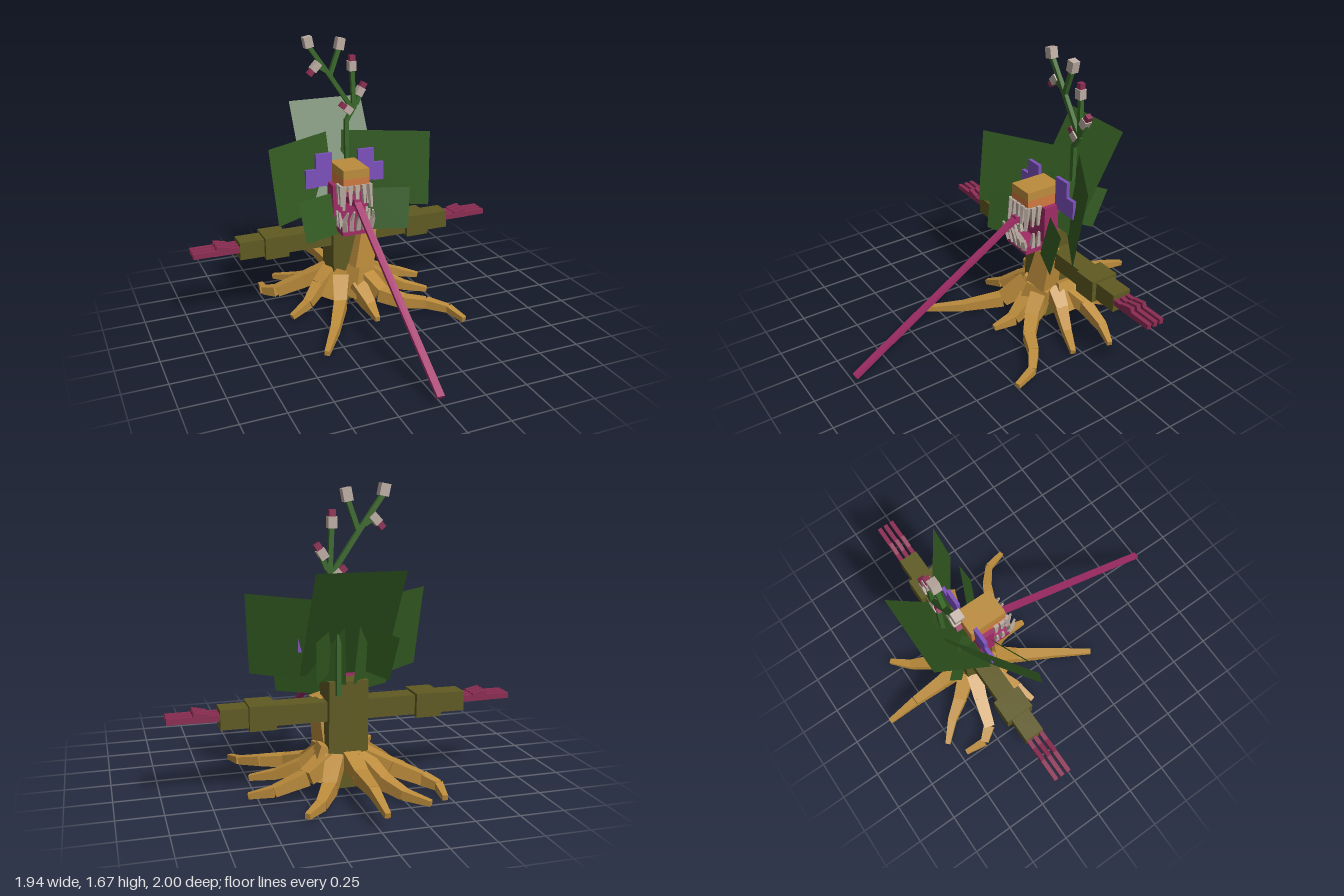
import * as THREE from 'three';

const mat = (name, color, side = THREE.FrontSide) =>
  Object.assign(new THREE.MeshStandardMaterial({ color, side }), { name });

export function createModel() {
  const model = new THREE.Group();
  model.name = 'plantCreature';

  const bark = mat('bark olive', 0x605a22);
  const root = mat('root tan', 0xbc8c3c);
  const leaf = mat('leaf green', 0x335c22, THREE.DoubleSide);
  const stem = mat('stem green', 0x386628);
  const claw = mat('claw maroon', 0x8c2c52);
  const flesh = mat('tongue magenta', 0xa02c66);
  const bone = mat('tooth and bud white', 0xbcaca2);
  const orange = mat('face orange', 0xd0793f);
  const purple = mat('ear purple', 0x7c50bc);

  const part = (name) => {
    const g = new THREE.Group();
    g.name = name;
    model.add(g);
    return g;
  };

  // Box given by its lower and upper corners
  const box = (parent, name, m, a, b) => {
    const mesh = new THREE.Mesh(new THREE.BoxGeometry(b[0] - a[0], b[1] - a[1], b[2] - a[2]), m);
    mesh.position.set((a[0] + b[0]) / 2, (a[1] + b[1]) / 2, (a[2] + b[2]) / 2);
    mesh.name = name;
    parent.add(mesh);
    return mesh;
  };

  // Square tapered bar from a to b, with its width at each end
  const bar = (parent, name, m, a, b, w0, w1 = w0) => {
    const p = new THREE.Vector3(...a), q = new THREE.Vector3(...b);
    const geo = new THREE.CylinderGeometry(w1 * Math.SQRT1_2, w0 * Math.SQRT1_2, p.distanceTo(q), 4)
      .rotateY(Math.PI / 4).rotateX(Math.PI / 2).toNonIndexed();
    geo.computeVertexNormals();
    const mesh = new THREE.Mesh(geo, m);
    mesh.position.copy(p).lerp(q, 0.5);
    mesh.lookAt(q);
    mesh.name = name;
    parent.add(mesh);
    return mesh;
  };

  // Chain of bars tapering along a path
  const chain = (parent, name, m, pts, w0, w1) => {
    const n = pts.length - 1;
    for (let i = 0; i < n; i++) {
      const w = (t) => w0 + (w1 - w0) * t / n;
      bar(parent, name, m, pts[i], pts[i + 1], w(i), w(i + 1));
    }
  };

  // Trunk, with a large root climbing its front
  const trunk = part('trunk');
  box(trunk, 'trunkCore', bark, [-0.11, 0.04, -0.45], [0.11, 0.64, -0.26]);
  chain(trunk, 'climbingRoot', root,
    [[0.105, 0.53, -0.28], [0.06, 0.27, -0.27], [0.02, 0.08, -0.25]], 0.11, 0.18);
  bar(trunk, 'sideRoot', root, [-0.06, 0.25, -0.27], [-0.14, 0.08, -0.22], 0.07, 0.11);
  bar(trunk, 'sideRoot', root, [0.1, 0.27, -0.38], [0.15, 0.08, -0.38], 0.1, 0.14);

  // Spreading roots
  const roots = part('roots');
  const rootPaths = [
    [[-0.07, 0.2, -0.24], [-0.13, 0.1, -0.1], [-0.25, 0.06, 0.12], [-0.38, 0.045, 0.33]],
    [[0.08, 0.2, -0.24], [0.15, 0.11, -0.13], [0.26, 0.08, -0.03], [0.39, 0.07, 0.03], [0.5, 0.05, 0.12], [0.54, 0.03, 0.25]],
    [[0.02, 0.15, -0.2], [0.05, 0.07, -0.06], [0.04, 0.05, 0.08]],
    [[-0.02, 0.2, -0.43], [-0.02, 0.16, -0.6], [-0.025, 0.15, -0.8], [-0.03, 0.1, -1]],
    [[-0.07, 0.2, -0.43], [-0.16, 0.1, -0.55], [-0.24, 0.06, -0.67], [-0.35, 0.04, -0.78]],
    [[-0.1, 0.2, -0.4], [-0.24, 0.14, -0.45], [-0.41, 0.07, -0.5], [-0.475, 0.05, -0.58], [-0.46, 0.03, -0.71]],
    [[0.07, 0.2, -0.43], [0.14, 0.1, -0.57], [0.22, 0.06, -0.69], [0.32, 0.05, -0.79]],
    [[0.1, 0.2, -0.4], [0.24, 0.13, -0.465], [0.42, 0.07, -0.465], [0.55, 0.04, -0.42]],
    [[-0.1, 0.22, -0.33], [-0.2, 0.16, -0.28], [-0.3, 0.09, -0.21], [-0.42, 0.04, -0.17]],
    [[0.1, 0.22, -0.33], [0.22, 0.14, -0.3], [0.36, 0.08, -0.24], [0.5, 0.05, -0.18]],
  ];
  rootPaths.forEach((p) => chain(roots, 'root', root, p, 0.1, 0.03));

  for (const s of [1, -1]) {
    const side = s > 0 ? 'left' : 'right';
    const mx = (x0, x1) => (s > 0 ? [x0, x1] : [-x1, -x0]);

    // Arm of three blocks ending in three clawed fingers
    const arm = part(side + 'Arm');
    for (const [x0, x1, h, d] of [[0.1, 0.395, 0.055, 0.06], [0.395, 0.54, 0.068, 0.088], [0.54, 0.69, 0.055, 0.06]]) {
      const [a, b] = mx(x0, x1);
      box(arm, 'armBlock', bark, [a, 0.468 - h, -0.352 - d], [b, 0.468 + h, -0.352 + d]);
    }
    for (const z of [-0.395, -0.352, -0.308]) {
      const [a, b] = mx(0.68, 0.84);
      box(arm, 'finger', claw, [a, 0.46, z - 0.013], [b, 0.495, z + 0.013]);
      const [c, d] = mx(0.84, 0.968);
      box(arm, 'fingerTip', claw, [c, 0.462, z - 0.013], [d, 0.495, z + 0.013]);
      bar(arm, 'knuckle', claw, [s * 0.75, 0.49, z], [s * 0.83, 0.507, z], 0.026);
    }

    // Stepped ears beside the head
    const ear = part(side + 'Ear');
    const [e0, e1] = mx(0.085, 0.19), [f0, f1] = mx(0.19, 0.255);
    box(ear, 'earInner', purple, [e0, 0.795, -0.35], [e1, 1.0, -0.328]);
    box(ear, 'earOuter', purple, [f0, 0.79, -0.35], [f1, 0.905, -0.328]);
  }

  // Flat leaves: each is a parallelogram from outer top, inner top and outer bottom
  const leaves = part('leaves');
  const addLeaf = (name, a, b, d) => {
    const c = b.map((v, i) => v + d[i] - a[i]);
    const geo = new THREE.BufferGeometry();
    geo.setAttribute('position', new THREE.Float32BufferAttribute([a, d, c, a, c, b].flat(), 3));
    geo.computeVertexNormals();
    const mesh = new THREE.Mesh(geo, leaf);
    mesh.name = name;
    leaves.add(mesh);
  };
  addLeaf('backLeaf', [-0.235, 1.255, -0.68], [0.245, 1.255, -0.68], [-0.235, 0.66, -0.345]);
  const pairs = [
    ['upperLeaf', [0.515, 1.1, -0.215], [0.05, 1.08, -0.525], [0.485, 0.645, -0.155]],
    ['lowerLeaf', [0.36, 0.775, -0.165], [0.12, 0.765, -0.27], [0.33, 0.525, -0.118]],
    ['rearLeaf', [0.225, 0.895, -0.61], [0.06, 0.945, -0.417], [0.2, 0.65, -0.53]],
  ];
  for (const [name, a, b, d] of pairs) {
    const flip = ([x, y, z]) => [-x, y, z];
    addLeaf(name, flip(a), flip(b), flip(d));
    addLeaf(name, b, a, d.map((v, i) => v + b[i] - a[i]));
  }

  // Head: tan crown, orange face, mouth and jaw
  const head = part('head');
  box(head, 'crown', root, [-0.087, 0.885, -0.37], [0.077, 0.94, -0.137]);
  box(head, 'face', orange, [-0.087, 0.81, -0.37], [0.077, 0.885, -0.137]);
  box(head, 'throat', flesh, [-0.115, 0.56, -0.34], [0.105, 0.82, -0.24]);
  box(head, 'jaw', flesh, [-0.1, 0.535, -0.3], [0.09, 0.585, -0.12]);

  // Teeth along the front and both sides of the mouth
  const teeth = part('teeth');
  for (let i = 0; i < 5; i++) {
    const x = -0.085 + i * 0.04;
    const h = i % 2 ? 0.73 : 0.7;
    bar(teeth, 'upperTooth', bone, [x, 0.845, -0.135], [x * 1.1, h, -0.12], 0.03, 0.014);
    bar(teeth, 'lowerTooth', bone, [x, 0.57, -0.12], [x * 1.15, 0.64, -0.1], 0.03, 0.022);
    bar(teeth, 'lowerTooth', bone, [x * 1.15, 0.64, -0.1], [x, 0.7, -0.075], 0.022, 0.01);
  }
  for (const x of [-0.09, 0.08]) {
    for (const z of [-0.17, -0.21]) {
      bar(teeth, 'sideTooth', bone, [x, 0.84, z], [x, 0.71, z], 0.03, 0.014);
      bar(teeth, 'lowerSideTooth', bone, [x, 0.57, z], [x * 1.15, 0.67, z], 0.028, 0.012);
    }
  }

  // Long straight tongue reaching the ground in front
  const tongue = part('tongue');
  bar(tongue, 'mouthTongue', flesh, [-0.012, 0.72, -0.27], [-0.012, 0.742, -0.1], 0.04);
  const shaft = bar(tongue, 'tongueShaft', flesh, [-0.012, 0.742, -0.11], [-0.012, 0.062, 0.992], 0.042);
  shaft.scale.y = 0.5;

  // Branching stem
  const Z = -0.47;
  const P = (x, y) => [x, y, Z];
  const plant = part('flowerStem');
  [
    [0.065, 0.57, 0.065, 1.16], [0.065, 1.15, 0.13, 1.26], [0.13, 1.25, 0.16, 1.32],
    [0.115, 1.22, 0.105, 1.47], [0.1, 1.23, -0.04, 1.44], [-0.04, 1.44, -0.17, 1.625],
    [-0.04, 1.44, 0.018, 1.6], [-0.07, 1.475, -0.125, 1.51], [0.1, 1.21, 0.075, 1.235],
  ].forEach(([a, b, c, d]) => bar(plant, 'branch', stem, P(a, b), P(c, d), 0.026));

  // Buds: white box along a direction, most with a magenta tip
  const buds = part('buds');
  const bud = (x, y, dx, dy, w, h, tip) => {
    const l = Math.hypot(dx, dy), ux = dx / l, uy = dy / l;
    const at = (t) => P(x + ux * t, y + uy * t);
    bar(buds, 'bud', bone, at(0), at(h), w);
    if (tip) bar(buds, 'budTip', claw, at(h), at(h + 0.035), w * 0.75);
  };
  bud(-0.17, 1.62, -0.2, 1, 0.052, 0.065, false);
  bud(0.018, 1.595, 0.2, 1, 0.05, 0.07, false);
  bud(0.103, 1.46, 0, 1, 0.046, 0.06, true);
  bud(0.14, 1.305, 0.6, 1, 0.046, 0.055, true);
  bud(-0.11, 1.525, -0.7, -0.75, 0.044, 0.06, true);
  bud(0.095, 1.205, -0.85, 0.7, 0.046, 0.05, true);

  return model;
}
